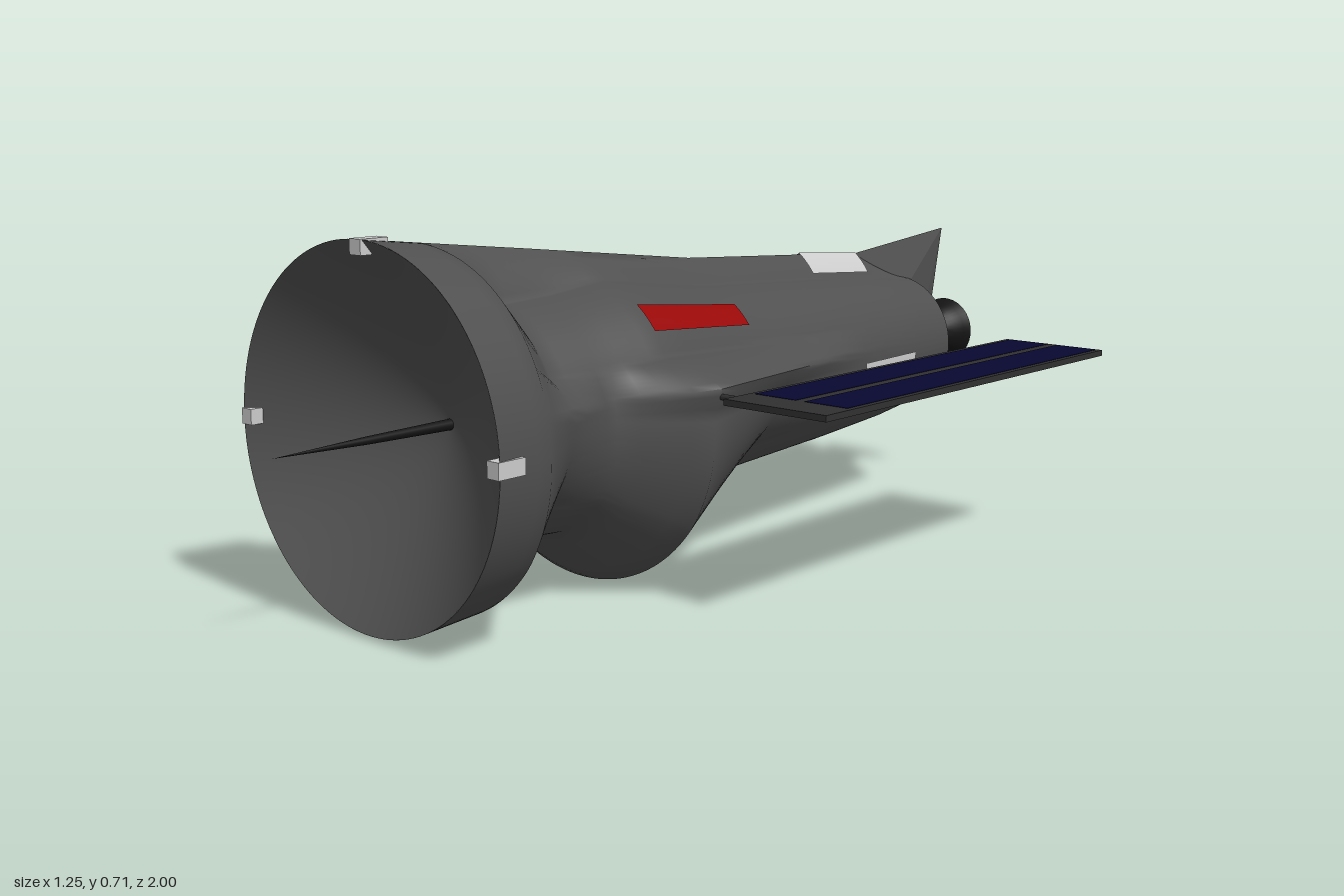
import * as THREE from 'three';
import { toCreasedNormals } from 'three/addons/utils/BufferGeometryUtils.js';
import { ConvexGeometry } from 'three/addons/geometries/ConvexGeometry.js';

const CY = 0.363; // height of the long axis
const { lerp, clamp, degToRad, mapLinear } = THREE.MathUtils;

// Hull stations: z, then radius at belly, flank, side wing, shoulder and dorsal ridge
const STATIONS = [
  [0.81, 0.351, 0.351, 0.351, 0.351, 0.351],
  [0.68, 0.343, 0.335, 0.335, 0.335, 0.336],
  [0.55, 0.230, 0.262, 0.270, 0.222, 0.321],
  [0.41, 0.240, 0.228, 0.226, 0.230, 0.305],
  [0.275, 0.358, 0.346, 0.368, 0.246, 0.289],
  [-0.04, 0.205, 0.255, 0.282, 0.205, 0.252],
  [-0.41, 0.185, 0.185, 0.187, 0.185, 0.230],
  [-0.62, 0.170, 0.170, 0.170, 0.170, 0.215],
  [-0.79, 0.150, 0.150, 0.150, 0.150, 0.150],
];
// Elevation of those radii in degrees, the shoulder running from 26 to 76
const ELEVATIONS = [-36, 2, 10, 26, 76, 90];

const mat = (color, side = THREE.FrontSide) => new THREE.MeshStandardMaterial({ color, side });

// Hull radius at depth z and angle in degrees (0 = side, 90 = top)
function hullRadius(z, deg) {
  let i = 0;
  while (i < STATIONS.length - 2 && z < STATIONS[i + 1][0]) i++;
  const a = STATIONS[i], b = STATIONS[i + 1];
  const t = clamp((a[0] - z) / (a[0] - b[0]), 0, 1);
  const [, belly, flank, side, shoulder, ridge] = a.map((v, k) => lerp(v, b[k], t));
  const radii = [belly, flank, side, shoulder, shoulder, ridge];
  const e = Math.max(Math.asin(Math.sin(degToRad(deg))) * 180 / Math.PI, ELEVATIONS[0]);
  let k = 0;
  while (k < 4 && e > ELEVATIONS[k + 1]) k++;
  return mapLinear(e, ELEVATIONS[k], ELEVATIONS[k + 1], radii[k], radii[k + 1]);
}

// Skin over the hull between two angles, at the given depths
function hullSkin(zs, from, to, steps, lift = 0) {
  const pos = [], index = [];
  zs.forEach((z, i) => {
    for (let j = 0; j <= steps; j++) {
      const deg = lerp(from, to, j / steps);
      const r = hullRadius(z, deg) + lift, a = degToRad(deg);
      pos.push(r * Math.cos(a), CY + r * Math.sin(a), z);
      if (i < zs.length - 1 && j < steps) {
        const p = i * (steps + 1) + j, q = p + steps + 1;
        index.push(p, q, p + 1, p + 1, q, q + 1);
      }
    }
  });
  const g = new THREE.BufferGeometry();
  g.setAttribute('position', new THREE.Float32BufferAttribute(pos, 3));
  g.setIndex(index);
  return toCreasedNormals(g, 1.3);
}

// Turned part around the long axis, from [radius, z] points
function turned(points, segments = 64) {
  const g = new THREE.LatheGeometry(points.map(([r, z]) => new THREE.Vector2(r, z)), segments);
  return g.rotateX(Math.PI / 2).translate(0, CY, 0);
}

export function createModel() {
  const model = new THREE.Group();
  model.name = 'spacecraft';
  const hullMat = mat(0x505050, THREE.DoubleSide);
  const frameMat = mat(0x303030), cellMat = mat(0x080832);
  const paleMat = mat(0xcccccc, THREE.DoubleSide), redMat = mat(0x990808, THREE.DoubleSide);
  const blackMat = mat(0x141414, THREE.DoubleSide);

  const add = (name, geometry, material, parent = model) => {
    const m = new THREE.Mesh(geometry, material);
    m.name = name;
    parent.add(m);
    return m;
  };
  const box = (name, size, at, material, parent) =>
    add(name, new THREE.BoxGeometry(...size), material, parent).position.set(...at);

  // Hull with flared belly, side wings and dorsal ridge, each bay split lengthwise
  const hullZ = [STATIONS[0][0]];
  for (let i = 1; i < STATIONS.length; i++)
    for (let k = 1; k <= 4; k++) hullZ.push(lerp(STATIONS[i - 1][0], STATIONS[i][0], k / 4));
  add('hull', hullSkin(hullZ, 0, 360, 180), hullMat);
  add('tailCone', turned([[0.055, -0.88], [0.15, -0.79]]), hullMat);

  // Concave front dish and its spike
  const bowl = [];
  for (let i = 0; i <= 16; i++) bowl.push([0.351 * i / 16, 0.61 + 0.2 * (i / 16) ** 1.5]);
  add('frontDish', turned(bowl, 90), hullMat);
  add('antennaSpike', turned([[0.011, 0.6], [0.0075, 0.8], [0, 1]], 12), blackMat);

  // Engine nozzle at the tail
  add('nozzle', toCreasedNormals(turned([
    [0, -0.87], [0.056, -0.87], [0.045, -0.91], [0.042, -0.93], [0.06, -0.955],
    [0.068, -0.98], [0.076, -1], [0.066, -0.995], [0.03, -0.94], [0, -0.93],
  ], 40), 0.6), blackMat);

  // Wedge shaped tail fin
  add('tailFin', new ConvexGeometry([
    [0, 0.579, -0.61], [0, 0.46, -0.64], [0, 0.615, -0.975], [0, 0.425, -0.935],
    [0.035, 0.5, -0.79], [-0.035, 0.5, -0.79], [0.018, 0.42, -0.88], [-0.018, 0.42, -0.88],
  ].map((p) => new THREE.Vector3(...p))), hullMat);

  // Pale radiator patches around the tail and red patches on the shoulders
  const tailZ = [-0.41, -0.515, -0.62];
  for (const [name, from, to] of [
    ['topPatch', 78, 102], ['leftPatch', -25, 2], ['rightPatch', 178, 205], ['bellyPatch', 258, 282],
  ]) add(name, hullSkin(tailZ, from, to, 12, 0.004), paleMat);
  const shoulderZ = [0.275, 0.2, 0.12, 0.04, -0.04];
  add('leftRedPatch', hullSkin(shoulderZ, 38, 53, 8, 0.004), redMat);
  add('rightRedPatch', hullSkin(shoulderZ, 127, 142, 8, 0.004), redMat);

  // Small blocks on the dish rim
  for (const deg of [0, 90, 180]) {
    const a = degToRad(deg);
    const m = add('rimBlock', new THREE.BoxGeometry(0.028, 0.03, 0.06), paleMat);
    m.position.set(0.338 * Math.cos(a), CY + 0.338 * Math.sin(a), 0.784);
    m.rotation.z = a;
  }

  // Solar panels on both sides
  for (const s of [1, -1]) {
    const panel = new THREE.Group();
    panel.name = s > 0 ? 'leftSolarPanel' : 'rightSolarPanel';
    model.add(panel);
    box('panelFrame', [0.23, 0.012, 0.955], [s * 0.508, 0.411, -0.17], frameMat, panel);
    for (const x of [0.451, 0.565])
      box('solarCells', [0.094, 0.0135, 0.875], [s * x, 0.411, -0.205], cellMat, panel);
    const strut = add('panelStrut', new THREE.CylinderGeometry(0.006, 0.006, 0.14, 12), frameMat, panel);
    strut.rotation.z = Math.PI / 2;
    strut.position.set(s * 0.35, 0.411, 0.27);
  }
  return model;
}
